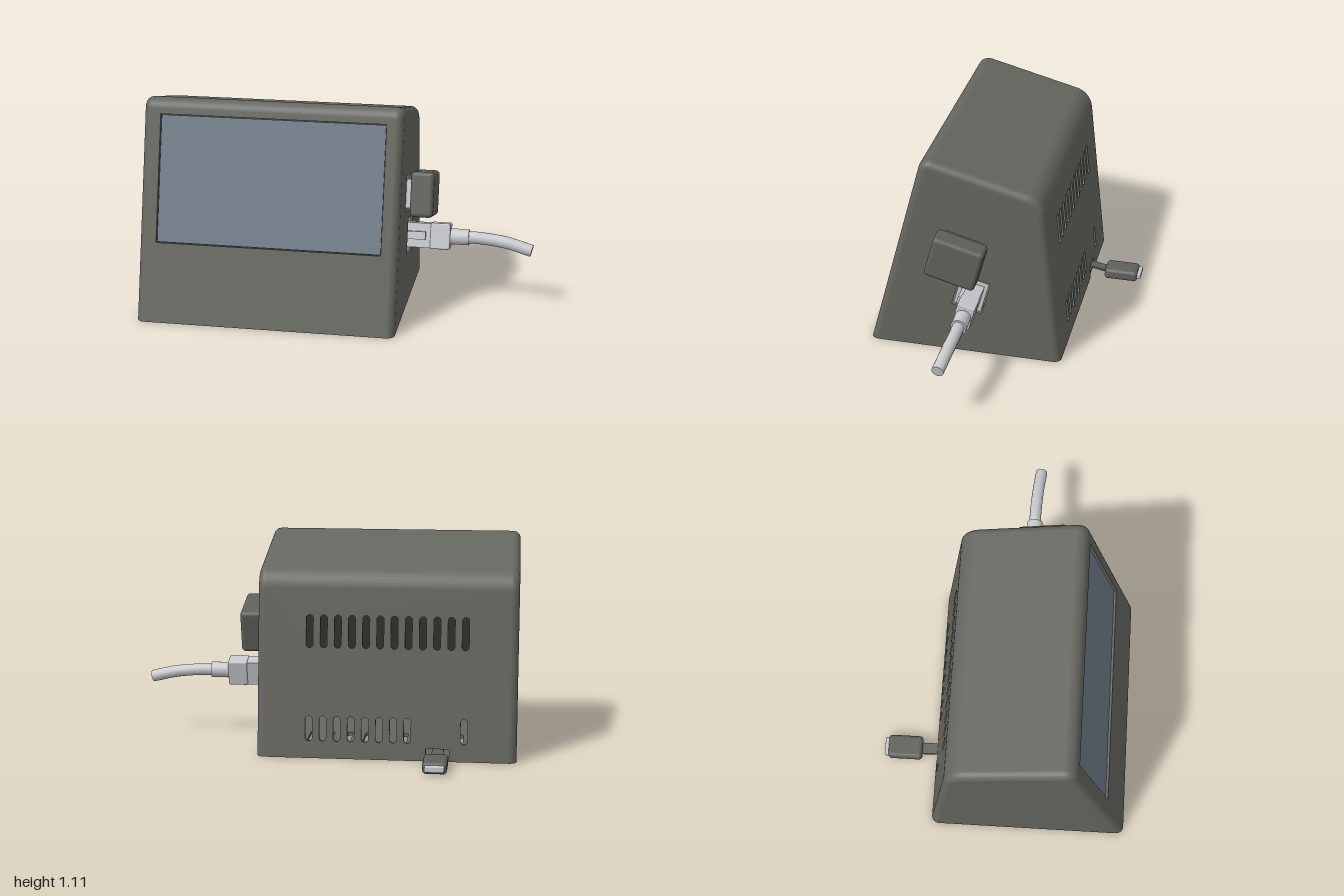
import * as THREE from 'three';
import { RoundedBoxGeometry } from 'three/addons/geometries/RoundedBoxGeometry.js';

const mat = (name, color, side = THREE.FrontSide) => {
  const m = new THREE.MeshStandardMaterial({ color, side });
  m.name = name;
  return m;
};

// Case dimensions; profile vectors are (z, y)
const X0 = -1, X1 = 0.345, EDGE = 0.04, TILT = Math.atan(0.268), BACK_TILT = Math.atan(0.111);
const V = (z, y) => new THREE.Vector2(z, y);
const nFront = V(1, 0.268).normalize(), nTop = V(-0.26, 1).normalize(), nBack = V(-1, 0.111).normalize();
const hFront = nFront.dot(V(0.665, 0)), hTop = nTop.dot(V(0, 1.031)), hBack = nBack.dot(V(-0.38, 0));
const R1 = 0.06, R2 = 0.124;

// Point where two lines n.p = h cross
function meet(n1, h1, n2, h2) {
  const det = n1.x * n2.y - n1.y * n2.x;
  return V((h1 * n2.y - h2 * n1.y) / det, (n1.x * h2 - n2.x * h1) / det);
}
const c1 = meet(nFront, hFront - R1, nTop, hTop - R1);
const c2 = meet(nTop, hTop - R2, nBack, hBack - R2);

// Case profile inset by d: list of { p, n }, from front foot over the top to back foot
function section(d) {
  const out = [{ p: V((hFront - d) / nFront.x, 0), n: nFront }];
  for (const [c, r, a, b] of [[c1, R1, nFront, nTop], [c2, R2, nTop, nBack]]) {
    const a0 = a.angle(), a1 = b.angle();
    for (let i = 0; i <= 8; i++) {
      const t = a0 + (a1 - a0) * i / 8, n = V(Math.cos(t), Math.sin(t));
      out.push({ p: c.clone().addScaledVector(n, r - d), n });
    }
  }
  out.push({ p: V((hBack - d) / nBack.x, 0), n: nBack });
  return out;
}

// Rounded skin of the case; front and back walls stay open for the panels
function skinGeometry() {
  const pos = [], nor = [], idx = [], STEPS = 6, rows = [];
  for (let k = 0; k <= STEPS; k++) rows.push([-1, Math.PI / 2 * (1 - k / STEPS)]);
  for (let k = 0; k <= STEPS; k++) rows.push([1, Math.PI / 2 * k / STEPS]);
  let count = 0;
  rows.forEach(([side, a], r) => {
    const pts = section(EDGE * (1 - Math.cos(a)));
    const x = side < 0 ? X0 + EDGE * (1 - Math.sin(a)) : X1 - EDGE * (1 - Math.sin(a));
    count = pts.length;
    for (const { p, n } of pts) {
      pos.push(x, p.y, p.x);
      nor.push(side * Math.sin(a), Math.cos(a) * n.y, Math.cos(a) * n.x);
    }
    if (r === 0) return;
    for (let i = 0; i < count - 1; i++) {
      if (r === STEPS + 1 && (i === 0 || i === count - 2)) continue;
      const q = (r - 1) * count + i, s = q + count;
      idx.push(q, s, q + 1, s, s + 1, q + 1);
    }
  });
  const g = new THREE.BufferGeometry();
  g.setAttribute('position', new THREE.Float32BufferAttribute(pos, 3));
  g.setAttribute('normal', new THREE.Float32BufferAttribute(nor, 3));
  g.setIndex(idx);
  return g;
}

// Upright slot with round ends
function slot(cx, cy, w, h) {
  const p = new THREE.Path(), r = w / 2, k = h / 2 - r;
  p.absarc(cx, cy + k, r, 0, Math.PI, false);
  p.absarc(cx, cy - k, r, Math.PI, Math.PI * 2, false);
  p.closePath();
  return p;
}

const poly = (pts) => pts.map(([x, y]) => V(x, y));
const rect = (x0, y0, x1, y1) => poly([[x0, y0], [x1, y0], [x1, y1], [x0, y1]]);

// Wall panel with its outer face on z = 0 and its foot cut level with the ground
function panelGeometry(shape, tilt, depth = 0.02) {
  const g = new THREE.ExtrudeGeometry(shape, { depth, bevelEnabled: false, curveSegments: 8 });
  g.translate(0, 0, -depth);
  const p = g.attributes.position;
  for (let i = 0; i < p.count; i++) {
    if (p.getY(i) < 0.001) p.setY(i, -p.getZ(i) * Math.tan(tilt));
  }
  return g;
}

export function createModel() {
  const model = new THREE.Group();
  const shell = mat('case grey', 0x666660, THREE.DoubleSide);
  const dark = mat('dark grey', 0x3a3a38);
  const adapter = mat('adapter grey', 0x60605b);
  const glass = mat('screen blue grey', 0x6f7d8a);
  const light = mat('light grey plastic', 0xc8c9cd);
  const metal = mat('metal', 0xa9abad);

  const add = (parent, name, geo, m, x = 0, y = 0, z = 0) => {
    const mesh = new THREE.Mesh(geo, m);
    mesh.name = name;
    mesh.position.set(x, y, z);
    parent.add(mesh);
    return mesh;
  };
  const group = (name, x, y, z, rx = 0, ry = 0) => {
    const g = new THREE.Group();
    g.name = name;
    g.position.set(x, y, z);
    g.rotation.set(rx, ry, 0, 'YXZ');
    model.add(g);
    return g;
  };

  // Case skin and end walls
  add(model, 'caseSkin', skinGeometry(), shell);
  const profile = section(EDGE), full = section(0);
  const usb = V(0.16, 0.612), net = V(0.104, 0.36);
  const port = (c, w, h) => new THREE.Path(rect(-w / 2, -h / 2, w / 2, h / 2)
    .map((p) => p.rotateAround(V(0, 0), -TILT).add(V(-c.x, c.y))));
  const leftShape = new THREE.Shape(profile.map(({ p }) => V(-p.x, p.y)));
  leftShape.holes.push(port(usb, 0.2, 0.19), port(net, 0.165, 0.194));
  add(model, 'leftWall', new THREE.ShapeGeometry(leftShape), shell, X1).rotation.y = Math.PI / 2;
  const rightShape = new THREE.Shape(profile.map(({ p }) => p.clone()));
  add(model, 'rightWall', new THREE.ShapeGeometry(rightShape), shell, X0).rotation.y = -Math.PI / 2;

  // Front wall with the recessed screen
  const xa = X0 + EDGE, xb = X1 - EDGE, cosT = Math.cos(TILT);
  const front = group('front', 0, 0, 0.665, -TILT);
  const frontShape = new THREE.Shape(rect(xa, 0, xb, full[0].p.distanceTo(full[1].p)));
  frontShape.holes.push(new THREE.Path(rect(-0.91, 0.4 / cosT, 0.26, 1.04 / cosT)));
  add(front, 'frontWall', panelGeometry(frontShape, TILT), shell);
  add(front, 'screen', new THREE.BoxGeometry(1.164, 0.655, 0.008), glass, -0.325, 0.72 / cosT, -0.016);
  add(front, 'screenBacking', new THREE.BoxGeometry(1.2, 0.69, 0.01), dark, -0.325, 0.72 / cosT, -0.026);

  // Back wall with vents and a cable notch (its own x runs the other way)
  const back = group('back', 0, 0, -0.38, -BACK_TILT, Math.PI);
  const n = full.length, top = full[n - 2].p.distanceTo(full[n - 1].p);
  const backShape = new THREE.Shape(poly([[-xb, 0], [0.535, 0], [0.535, 0.065], [0.655, 0.065],
    [0.655, 0], [-xa, 0], [-xa, top], [-xb, top]]));
  for (let i = 0; i < 12; i++) {
    const x = 0.73 - i * 0.073;
    backShape.holes.push(slot(x, 0.66, 0.036, 0.17));
    if (i === 0 || i > 3) backShape.holes.push(slot(x, 0.155, 0.036, 0.13));
  }
  add(back, 'backWall', panelGeometry(backShape, BACK_TILT), shell);

  // Base plate with long vents and corner screws
  const baseShape = new THREE.Shape(poly([[X0 + 0.03, -0.372], [X1 - 0.03, -0.372], [X1 - 0.007, -0.35],
    [X1 - 0.007, 0.63], [X1 - 0.03, 0.656], [X0 + 0.03, 0.656], [X0 + 0.007, 0.63], [X0 + 0.007, -0.35]]));
  for (let i = 0; i < 10; i++) baseShape.holes.push(slot(0.1 - i * 0.1, -0.07, 0.032, 0.36));
  const base = new THREE.ExtrudeGeometry(baseShape, { depth: 0.02, bevelEnabled: false, curveSegments: 8 });
  add(model, 'basePlate', base, shell, 0, 0.021, 0).rotation.x = Math.PI / 2;
  for (const x of [X0 + 0.07, X1 - 0.07]) {
    for (const z of [-0.31, 0.595]) {
      add(model, 'screw', new THREE.CylinderGeometry(0.027, 0.027, 0.008, 20), metal, x, 0.0045, z);
      add(model, 'screwSocket', new THREE.CylinderGeometry(0.013, 0.013, 0.008, 6), dark, x, 0.004, z);
    }
  }

  // Small adapter in the twin ports
  const dongle = group('adapter', 0, usb.y, usb.x, -TILT);
  add(dongle, 'adapterBody', new RoundedBoxGeometry(0.12, 0.235, 0.275, 4, 0.022), adapter, 0.43);
  for (const z of [-0.062, 0.062]) {
    add(dongle, 'adapterPlug', new THREE.BoxGeometry(0.1, 0.15, 0.06), light, 0.33, 0, z);
    add(dongle, 'portBlock', new THREE.BoxGeometry(0.1, 0.175, 0.085), metal, 0.285, 0, z);
  }

  // Network port, plug and cable
  const socket = group('networkSocket', 0, net.y, net.x, -TILT);
  add(socket, 'socketBlock', new THREE.BoxGeometry(0.15, 0.182, 0.152), light, 0.263);
  const plug = group('networkPlug', 0, 0.358, 0.09, -TILT);
  add(plug, 'plugNose', new THREE.BoxGeometry(0.14, 0.13, 0.086), light, 0.395);
  add(plug, 'plugBody', new RoundedBoxGeometry(0.105, 0.138, 0.096, 2, 0.008), light, 0.511);
  add(plug, 'plugClip', new THREE.BoxGeometry(0.1, 0.042, 0.022), light, 0.385, 0, 0.056);
  add(plug, 'strainRelief', new THREE.CylinderGeometry(0.042, 0.042, 0.11, 24), light, 0.605)
    .rotation.z = Math.PI / 2;
  const path = new THREE.CatmullRomCurve3([[0.64, 0.358, 0.09], [0.72, 0.357, 0.09], [0.86, 0.342, 0.097],
    [0.992, 0.31, 0.11]].map((p) => new THREE.Vector3(...p)));
  add(model, 'networkCable', new THREE.TubeGeometry(path, 24, 0.032, 16), light);
  const tangent = path.getTangent(1);
  const end = add(model, 'networkCableEnd', new THREE.CircleGeometry(0.032, 16), light, 0.992, 0.31, 0.11);
  end.quaternion.setFromUnitVectors(new THREE.Vector3(0, 0, 1), tangent);

  // Flat power lead out of the back, with its plug
  const lead = new THREE.Shape();
  lead.moveTo(0.33, 0.044);
  lead.bezierCurveTo(0.42, 0.048, 0.42, 0.03, 0.47, 0.03);
  lead.lineTo(0.47, 0.042);
  lead.bezierCurveTo(0.42, 0.042, 0.42, 0.058, 0.33, 0.056);
  const leadGeo = new THREE.ExtrudeGeometry(lead, { depth: 0.06, bevelEnabled: false });
  add(model, 'powerLead', leadGeo, adapter, -0.627, 0, 0).rotation.y = Math.PI / 2;
  add(model, 'powerPlug', new RoundedBoxGeometry(0.125, 0.062, 0.188, 4, 0.02), adapter, -0.593, 0.034, -0.552);
  add(model, 'powerPlugTip', new RoundedBoxGeometry(0.1, 0.034, 0.06, 3, 0.008), light, -0.593, 0.034, -0.635);

  return model;
}
